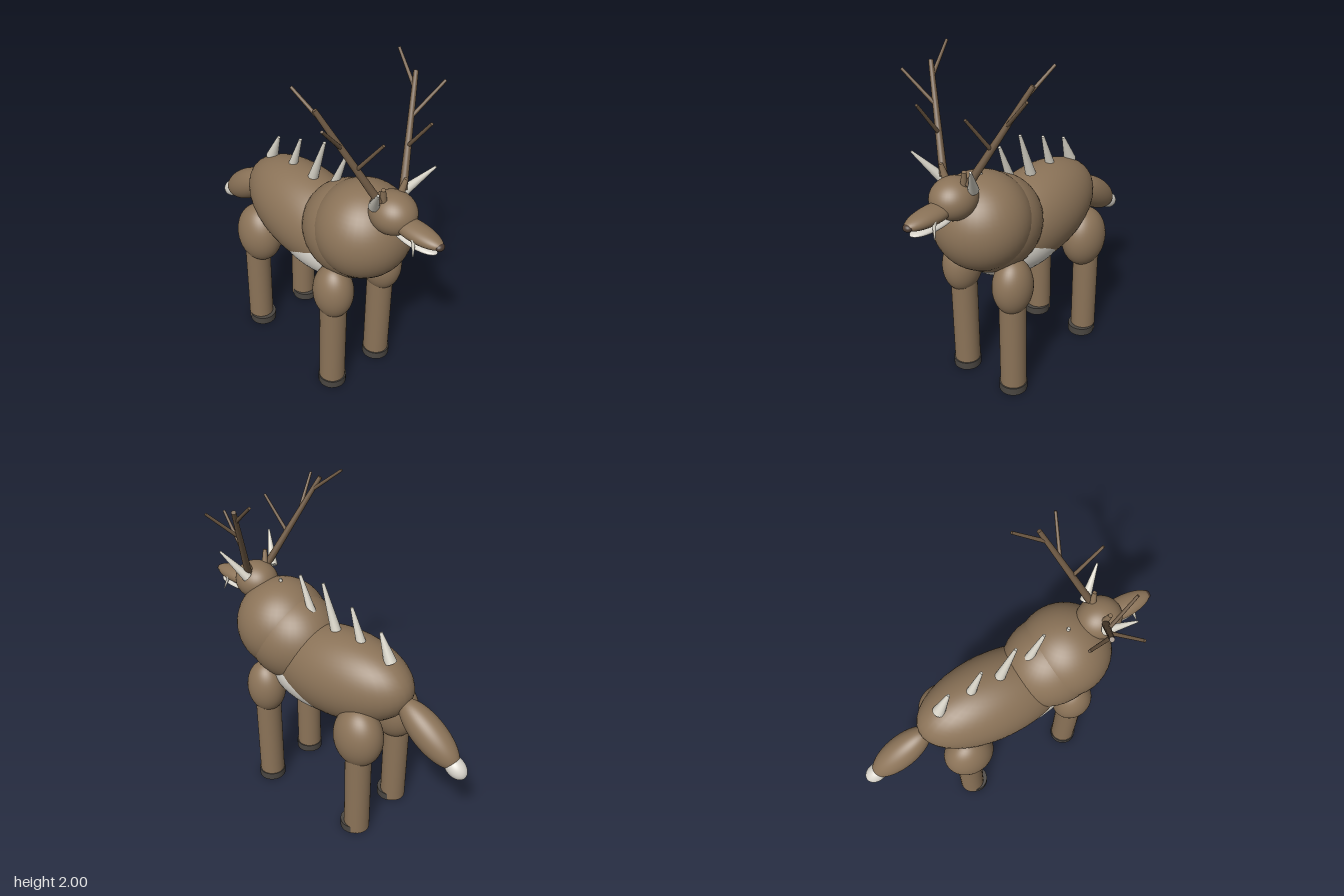
import * as THREE from 'three';

const material = (name, color) => {
  const m = new THREE.MeshStandardMaterial({ color });
  m.name = name;
  return m;
};

export function createModel() {
  const fur = material('brown fur', 0x8b7358);
  const pale = material('pale fur', 0xd8d4cb);
  const bone = material('bone', 0xd8d4c8);
  const antlerBrown = material('antler brown', 0x6f5a44);
  const hoofGrey = material('hoof grey', 0x4a4641);
  const noseDark = material('nose dark', 0x4a3a30);

  const model = new THREE.Group();
  model.name = 'antleredBeast';

  const add = (parent, name, geometry, mat) => {
    const mesh = new THREE.Mesh(geometry, mat);
    mesh.name = name;
    parent.add(mesh);
    return mesh;
  };
  // Ellipsoid with a centre, three radii and a tilt about x
  const blob = (parent, name, mat, centre, radii, tilt = 0) => {
    const mesh = add(parent, name, new THREE.SphereGeometry(1, 40, 28), mat);
    mesh.position.set(...centre);
    mesh.scale.set(...radii);
    mesh.rotation.x = tilt;
    return mesh;
  };
  // Tapered rod between two points
  const rod = (parent, name, mat, from, to, r0, r1, sides = 16) => {
    const a = new THREE.Vector3(...from);
    const dir = new THREE.Vector3(...to).sub(a);
    const mesh = add(parent, name, new THREE.CylinderGeometry(r1, r0, dir.length(), sides), mat);
    mesh.position.copy(a).addScaledVector(dir, 0.5);
    mesh.quaternion.setFromUnitVectors(new THREE.Vector3(0, 1, 0), dir.normalize());
    return mesh;
  };

  // Torso
  blob(model, 'chest', fur, [0, 1.1, 0.405], [0.28, 0.28, 0.28]);
  blob(model, 'shoulders', fur, [0, 1.05, 0.32], [0.27, 0.28, 0.3]);
  blob(model, 'body', fur, [0, 0.95, -0.06], [0.255, 0.274, 0.503], 0.125);
  blob(model, 'belly', pale, [0, 0.867, 0.08], [0.23, 0.2, 0.4]);

  // Tail, sloping down to a pale tip
  blob(model, 'tail', fur, [0, 0.825, -0.7], [0.095, 0.1, 0.24], -0.61);
  blob(model, 'tailTip', pale, [0, 0.69, -0.888], [0.055, 0.055, 0.08], -0.61);

  // Head
  blob(model, 'head', fur, [0, 1.32, 0.615], [0.125, 0.115, 0.135]);
  blob(model, 'snout', fur, [0, 1.293, 0.775], [0.068, 0.047, 0.18]);
  blob(model, 'nose', noseDark, [0, 1.29, 0.94], [0.028, 0.02, 0.022]);
  blob(model, 'lowerJaw', pale, [0, 1.235, 0.775], [0.055, 0.022, 0.15]);

  // Row of back spines: base z, base y, tip z, tip y, base radius
  [
    [0.37, 1.17, 0.412, 1.395, 0.035],
    [0.125, 1.17, 0.25, 1.475, 0.034],
    [-0.045, 1.15, 0.075, 1.485, 0.036],
    [-0.23, 1.15, -0.135, 1.41, 0.034],
    [-0.415, 1.17, -0.34, 1.335, 0.037],
  ].forEach(([z0, y0, z1, y1, r], i) => {
    rod(model, `backSpine${i + 1}`, bone, [0, y0, z0], [0, y1, z1], r, 0.009);
  });

  for (const s of [-1, 1]) {
    const side = s > 0 ? 'left' : 'right';

    // Antler: one long beam with three tines
    const antler = new THREE.Group();
    antler.name = `${side}Antler`;
    model.add(antler);
    const base = new THREE.Vector3(s * 0.085, 1.41, 0.595);
    const tip = new THREE.Vector3(s * 0.335, 1.925, 0.39);
    rod(antler, 'beam', antlerBrown, base.toArray(), tip.toArray(), 0.022, 0.013);
    [
      [0.37, [0.16, 1.8, 0.675]],
      [0.61, [0.408, 1.9, 0.53]],
      [0.86, [0.355, 1.995, 0.245]],
    ].forEach(([t, [x, y, z]], i) => {
      const root = base.clone().lerp(tip, t);
      rod(antler, `tine${i + 1}`, antlerBrown, root.toArray(), [s * x, y, z], 0.011, 0.008, 12);
    });

    // Brow horn, ear stub and tusk
    rod(model, `${side}BrowHorn`, bone, [s * 0.105, 1.385, 0.58], [s * 0.2, 1.553, 0.697], 0.03, 0.006);
    rod(model, `${side}Ear`, fur, [s * 0.06, 1.39, 0.6], [s * 0.08, 1.49, 0.615], 0.022, 0.012);
    rod(model, `${side}Tusk`, bone, [s * 0.055, 1.29, 0.815], [s * 0.075, 1.205, 0.84], 0.012, 0.003, 12);

    // Legs: shin z, hoof z, thigh centre, thigh radii
    [
      ['Front', 0.38, 0.382, [0.19, 0.732, 0.382], [0.112, 0.174, 0.126]],
      ['Rear', -0.355, -0.335, [0.172, 0.715, -0.34], [0.13, 0.195, 0.157]],
    ].forEach(([end, z, hoofZ, [tx, ty, tz], radii]) => {
      const leg = new THREE.Group();
      leg.name = `${side}${end}Leg`;
      model.add(leg);
      blob(leg, 'thigh', fur, [s * tx, ty, tz], radii);
      rod(leg, 'shin', fur, [s * 0.185, 0.008, z], [s * 0.185, 0.65, z], 0.079, 0.079, 32);
      rod(leg, 'hoof', hoofGrey, [s * 0.185, 0, hoofZ], [s * 0.185, 0.05, hoofZ], 0.085, 0.085, 32);
    });
  }
  return model;
}
